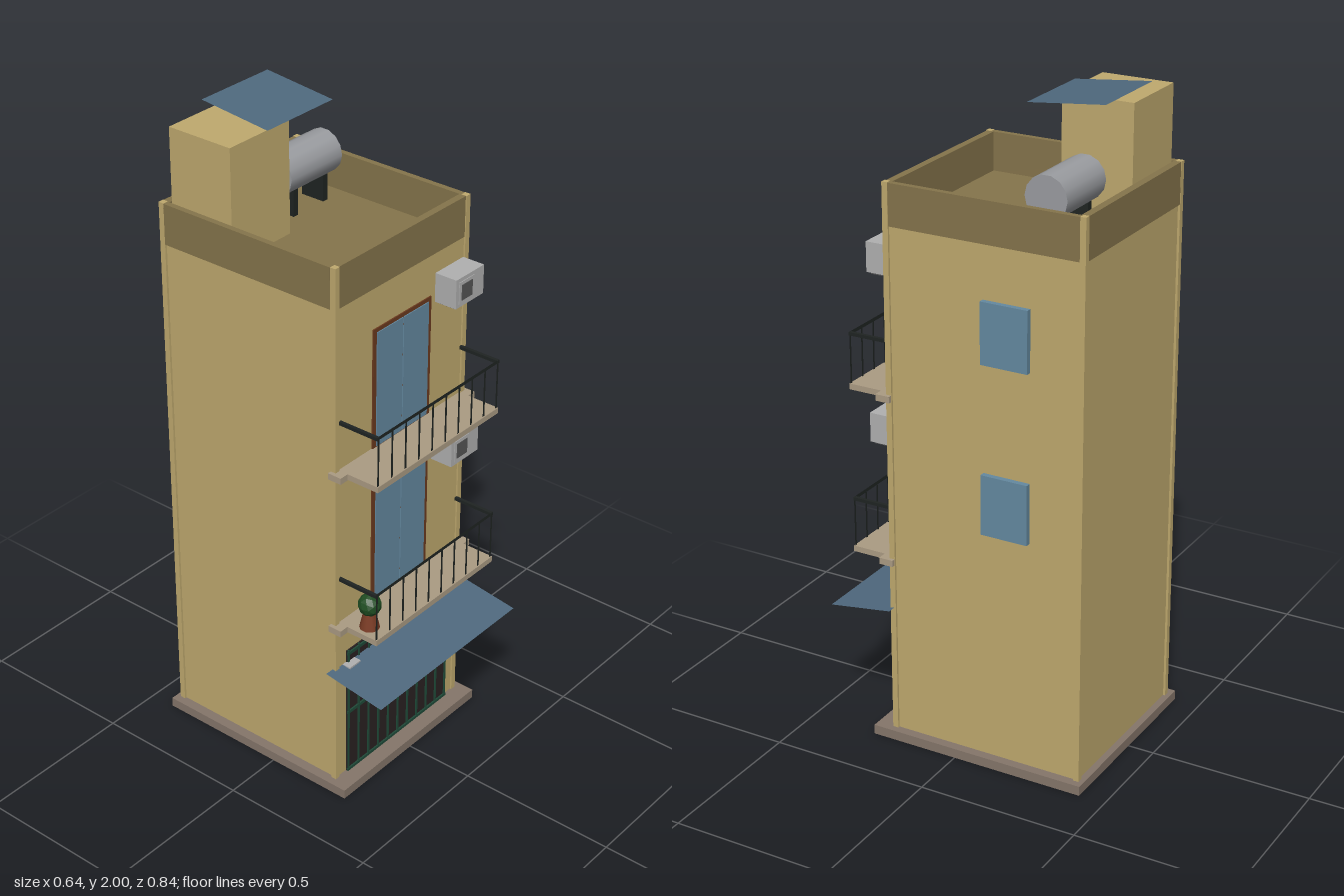
import * as THREE from 'three';

const mat = (color, extra = {}) => new THREE.MeshStandardMaterial({ color, ...extra });
const M = {
  wall: mat(0xbfa96e),
  trim: mat(0x85744b),
  stone: mat(0x85766a),
  slab: mat(0xab9b83),
  sheet: mat(0x4f697e, { side: THREE.DoubleSide }),
  glass: mat(0x6489a0),
  wood: mat(0x6b3a1e),
  iron: mat(0x1f2422, { side: THREE.DoubleSide }),
  green: mat(0x1f4a38),
  shutter: mat(0x2a2222),
  grey: mat(0xb0b0b0),
  dark: mat(0x555555),
  pot: mat(0x7a3b24),
  leaf: mat(0x1f4d22, { flatShading: true }),
  tank: mat(0x9a9ca0),
};

function add(parent, name, geometry, material, x = 0, y = 0, z = 0) {
  const mesh = new THREE.Mesh(geometry, material);
  mesh.name = name;
  mesh.position.set(x, y, z);
  parent.add(mesh);
  return mesh;
}

// Box given by its extents along each axis
function box(parent, name, material, x0, x1, y0, y1, z0, z1) {
  return add(parent, name, new THREE.BoxGeometry(x1 - x0, y1 - y0, z1 - z0), material,
    (x0 + x1) / 2, (y0 + y1) / 2, (z0 + z1) / 2);
}

function group(parent, name, y = 0) {
  const g = new THREE.Group();
  g.name = name;
  g.position.y = y;
  parent.add(g);
  return g;
}

// Thin sheet sloping down towards the front
function slopedSheet(parent, name, x0, x1, zBack, zFront, yBack, yFront) {
  const depth = zFront - zBack, drop = yBack - yFront;
  const geo = new THREE.PlaneGeometry(x1 - x0, Math.hypot(depth, drop));
  geo.rotateX(-Math.PI / 2 + Math.atan2(drop, depth));
  add(parent, name, geo, M.sheet, (x0 + x1) / 2, (yBack + yFront) / 2, (zBack + zFront) / 2);
}

function buildGate(parent) {
  const g = group(parent, 'shopGate');
  box(g, 'shutter', M.shutter, -0.24, 0.24, 0.03, 0.475, 0.21, 0.226);
  for (let i = 0; i <= 10; i++) {
    const x = -0.235 + i * 0.047;
    box(g, 'gateBar', M.green, x - 0.003, x + 0.003, 0.03, 0.475, 0.224, 0.23);
  }
  for (const y of [0.034, 0.25, 0.465]) {
    box(g, 'gateRail', M.green, -0.24, 0.24, y - 0.005, y + 0.005, 0.224, 0.231);
  }
}

// One upper floor; y = 0 is the top of the balcony slab
function buildFloor(parent, y) {
  const g = group(parent, 'upperFloor', y);

  box(g, 'ledge', M.slab, -0.305, 0.305, -0.02, 0, 0.21, 0.255);
  box(g, 'balconySlab', M.slab, -0.275, 0.275, -0.018, 0, 0.255, 0.362);

  // Double door
  box(g, 'doorFrame', M.wood, -0.13, 0.126, 0, 0.378, 0.215, 0.226);
  for (const x of [-0.06, 0.056]) {
    box(g, 'doorGlass', M.glass, x - 0.056, x + 0.056, 0.004, 0.366, 0.22, 0.229);
  }

  // Railing
  const top = 0.153;
  add(g, 'frontRail', new THREE.PlaneGeometry(0.55, 0.011), M.iron, 0, top, 0.358);
  for (let i = 0; i < 10; i++) {
    add(g, 'baluster', new THREE.PlaneGeometry(0.008, top), M.iron, -0.27 + i * 0.06, top / 2, 0.358);
  }
  for (const x of [-0.273, 0.27]) {
    box(g, 'sideRail', M.iron, x - 0.005, x + 0.005, top - 0.005, top + 0.005, 0.225, 0.36);
  }

  // Air conditioner
  box(g, 'airConditioner', M.grey, 0.147, 0.274, 0.35, 0.44, 0.222, 0.295);
  box(g, 'fanFrame', M.grey, 0.16, 0.228, 0.36, 0.428, 0.29, 0.297);
  box(g, 'fanGrille', M.dark, 0.17, 0.218, 0.37, 0.418, 0.29, 0.299);
  for (const x of [0.157, 0.257]) {
    box(g, 'bracket', M.dark, x, x + 0.008, 0.343, 0.35, 0.222, 0.285);
  }

  // Side window
  box(g, 'sideWindow', M.glass, 0.28, 0.303, 0.157, 0.342, -0.235, -0.087);
}

function buildPlant(parent) {
  const g = group(parent, 'pottedPlant', 0.595);
  g.position.x = -0.233;
  g.position.z = 0.303;
  add(g, 'pot', new THREE.CylinderGeometry(0.018, 0.03, 0.055, 10), M.pot, 0, 0.0275, 0);
  add(g, 'foliage', new THREE.IcosahedronGeometry(0.035, 1), M.leaf, 0, 0.078, 0);
}

function buildRoof(parent) {
  const g = group(parent, 'roof');
  box(g, 'roofFloor', M.trim, -0.285, 0.285, 1.61, 1.622, -0.395, 0.215);

  // Parapet
  for (const [z0, z1] of [[0.202, 0.224], [-0.403, -0.38]]) {
    box(g, 'parapet', M.trim, -0.277, 0.277, 1.615, 1.74, z0, z1);
  }
  for (const s of [-1, 1]) {
    const a = s * 0.275, b = s * 0.293;
    box(g, 'parapet', M.trim, Math.min(a, b), Math.max(a, b), 1.615, 1.74, -0.388, 0.208);
  }

  // Stair house and its canopy
  box(g, 'stairHouse', M.wall, -0.27, -0.03, 1.62, 1.965, -0.375, -0.155);
  slopedSheet(g, 'roofCanopy', -0.138, 0.135, -0.375, -0.137, 2.0, 1.975);

  // Water tank on its stand
  const tank = add(g, 'waterTank', new THREE.CylinderGeometry(0.065, 0.065, 0.22, 14), M.tank, 0.13, 1.755, -0.255);
  tank.rotation.z = Math.PI / 2;
  for (const x of [0.055, 0.185]) {
    box(g, 'tankStand', M.iron, x, x + 0.02, 1.62, 1.705, -0.295, -0.215);
  }
}

export function createModel() {
  const model = new THREE.Group();
  model.name = 'townhouse';

  box(model, 'plinth', M.stone, -0.317, 0.315, 0, 0.03, -0.418, 0.28);
  box(model, 'body', M.wall, -0.286, 0.286, 0.03, 1.615, -0.397, 0.222);

  // Corner posts
  for (const x of [-0.284, 0.284]) {
    for (const z of [-0.395, 0.218]) {
      box(model, 'cornerPost', M.wall, x - 0.009, x + 0.009, 0.03, 1.741, z - 0.009, z + 0.009);
    }
  }

  buildGate(model);
  box(model, 'meterBox', M.grey, -0.256, -0.207, 0.365, 0.435, 0.222, 0.25);
  slopedSheet(model, 'awning', -0.322, 0.32, 0.215, 0.418, 0.435, 0.405);

  for (const y of [0.595, 1.112]) buildFloor(model, y);
  buildPlant(model);
  buildRoof(model);
  return model;
}
